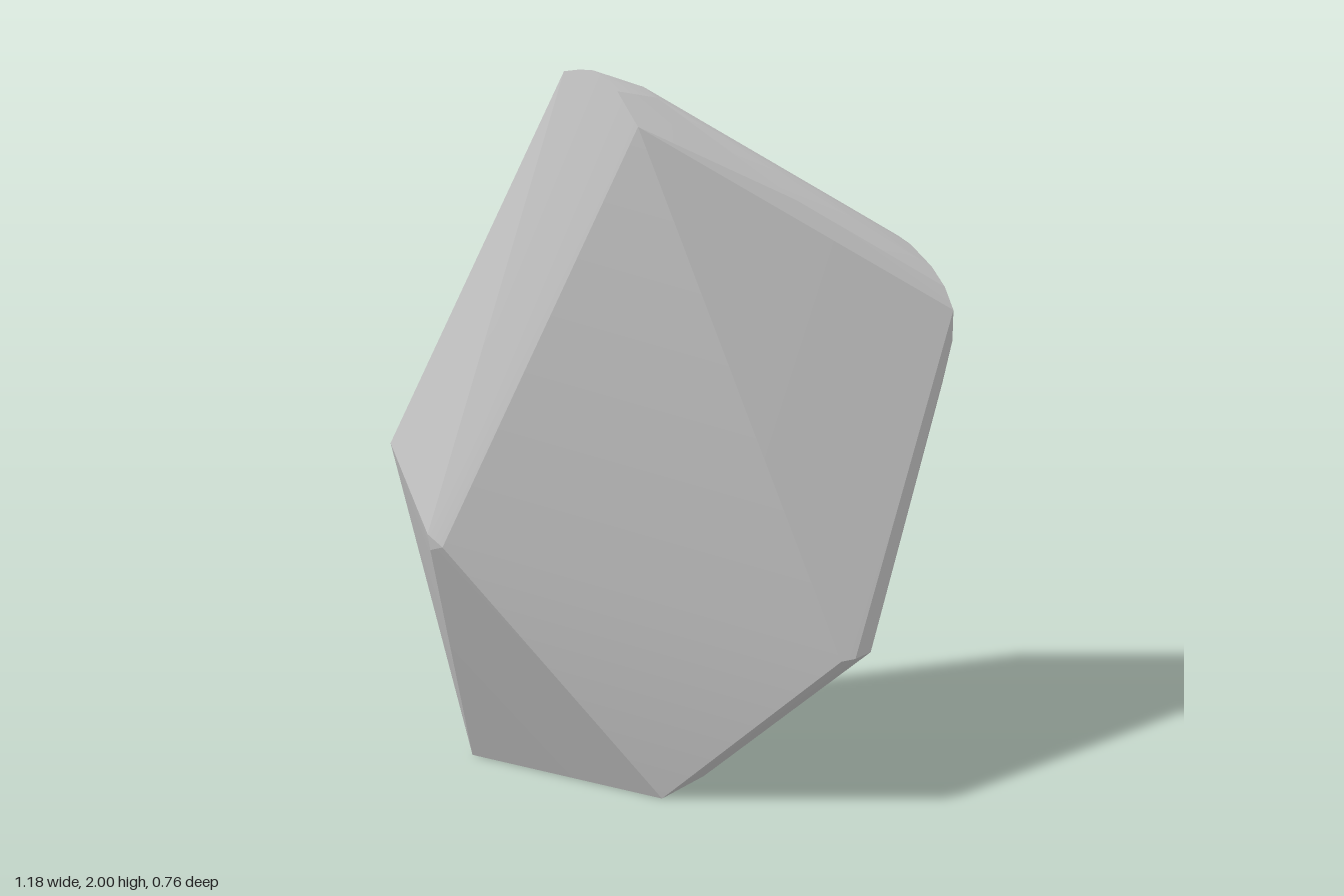
import * as THREE from 'three';
import { ConvexGeometry } from 'three/addons/geometries/ConvexGeometry.js';
import { toCreasedNormals } from 'three/addons/utils/BufferGeometryUtils.js';

const stone = new THREE.MeshStandardMaterial({ color: 0xcccccc });
stone.name = 'stone grey';

// Points [x, y] lying on one upright plane
const slice = (z, pairs) => pairs.map(([x, y]) => new THREE.Vector3(x, y, z));

export function createModel() {
  const corners = [
    // front bulge and left shoulder
    ...slice(0.378, [[-0.44, 0.725]]),
    ...slice(0.373, [[-0.4, 0.697]]),
    ...slice(0.366, [[-0.44, 0.68]]),
    ...slice(0.313, [[-0.59, 0.91]]),
    // rounded peak
    ...slice(0.316, [[-0.085, 1.98], [-0.04, 1.994], [0, 2], [0.035, 1.985], [0.07, 1.96], [0.13, 1.88]]),
    // worn ridge from the peak down to the back
    ...slice(0.2, [[0.03, 1.935], [0.07, 1.935], [0.11, 1.915]]),
    ...slice(-0.05, [[0.35, 1.62]]),
    ...slice(-0.28, [[0.31, 1.525], [0.36, 1.528], [0.41, 1.505]]),
    // flat back end with a rounded top
    ...slice(-0.38, [[0.07, 0.9], [0.268, 1.31], [0.3, 1.368], [0.336, 1.41], [0.389, 1.44], [0.43, 1.44],
      [0.466, 1.425], [0.527, 1.38], [0.565, 1.335], [0.59, 1.28], [0.587, 1.2], [0.558, 1.085], [0.504, 0.94]]),
    ...slice(-0.363, [[-0.15, 0.45], [0.29, 0.45]]),
    // lower corner on the side
    ...slice(-0.025, [[0.497, 0.46]]),
    ...slice(-0.06, [[0.515, 0.46]]),
    ...slice(-0.12, [[0.52, 0.46]]),
    // base
    ...slice(-0.02, [[-0.57, 0], [-0.02, 0]]),
    ...slice(-0.205, [[-0.57, 0], [-0.02, 0], [-0.57, 0.24]]),
  ];

  const rock = new THREE.Mesh(toCreasedNormals(new ConvexGeometry(corners), 0.25), stone);
  rock.name = 'rock';

  const group = new THREE.Group();
  group.name = 'boulder';
  group.add(rock);
  return group;
}
